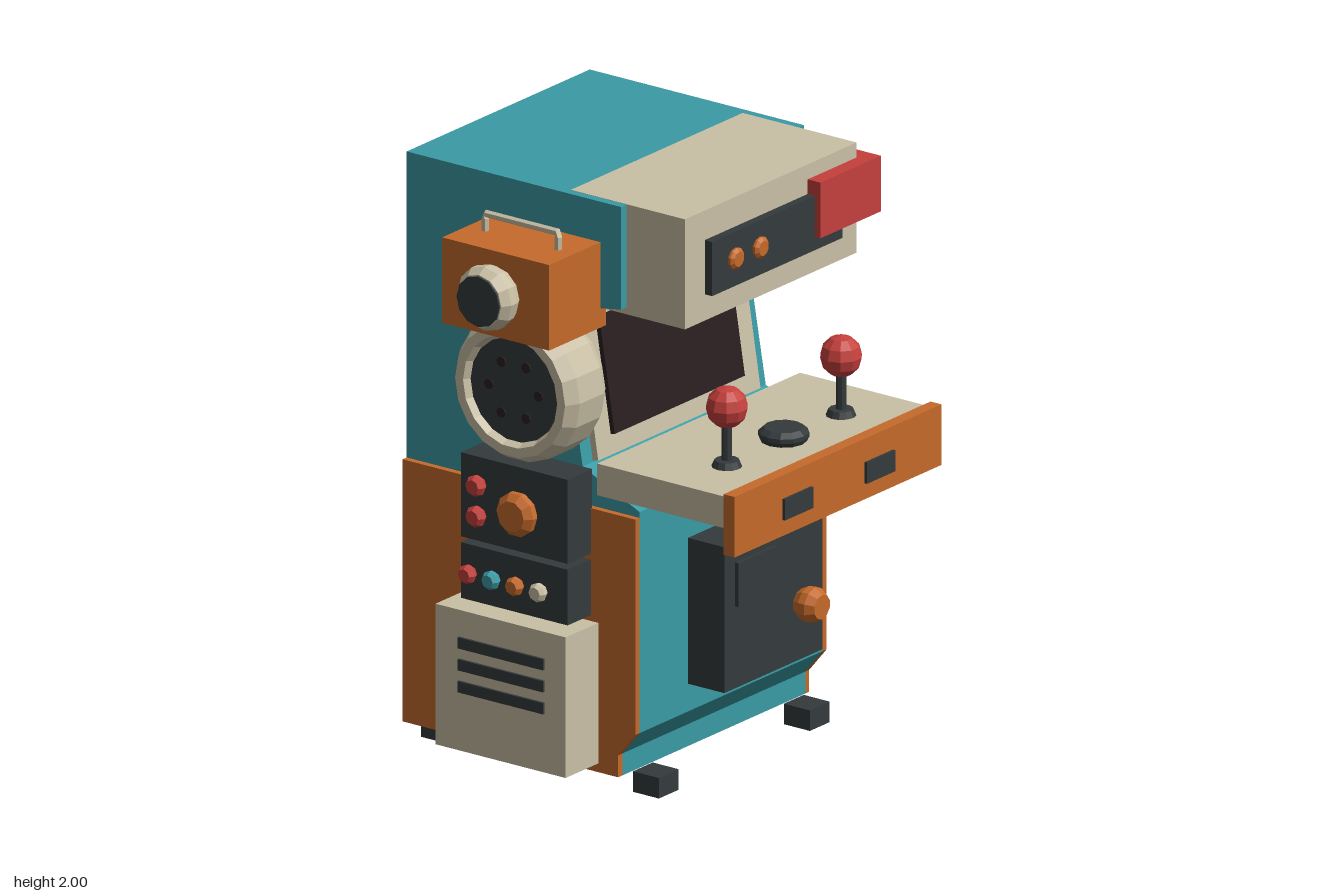
import * as THREE from 'three';

const mat = (name, color) => {
  const m = new THREE.MeshStandardMaterial({ color, flatShading: true });
  m.name = name;
  return m;
};

export function createModel() {
  const teal = mat('teal', 0x3a9ba5), orange = mat('orange', 0xc66a2b), cream = mat('cream', 0xcac0a6);
  const dark = mat('charcoal', 0x343a3c), red = mat('red', 0xc5403c), glass = mat('screen brown', 0x2a1e20);
  const root = new THREE.Group();

  const add = (name, geo, material, parent = root) => {
    const m = new THREE.Mesh(geo, material);
    m.name = name;
    parent.add(m);
    return m;
  };
  // Box given by its extents on each axis
  const box = (name, material, x0, x1, y0, y1, z0, z1) => {
    const m = add(name, new THREE.BoxGeometry(x1 - x0, y1 - y0, z1 - z0), material);
    m.position.set((x0 + x1) / 2, (y0 + y1) / 2, (z0 + z1) / 2);
    return m;
  };
  // Side profile of [z, y] points, extruded from x0 to x1
  const slab = (name, material, pts, x0, x1) => {
    const shape = new THREE.Shape(pts.map(([z, y]) => new THREE.Vector2(z, y)));
    const geo = new THREE.ExtrudeGeometry(shape, { depth: x1 - x0, bevelEnabled: false });
    geo.rotateY(-Math.PI / 2).translate(x1, 0, 0);
    return add(name, geo, material);
  };
  // Turned part; the profile is [radius, height], the axis points to 'up', 'front' or 'side' (-x)
  const turned = (name, material, pts, x, y, z, axis = 'up', sides = 12) => {
    const geo = new THREE.LatheGeometry(pts.map(([r, h]) => new THREE.Vector2(r, h)), sides);
    if (axis === 'front') geo.rotateX(Math.PI / 2);
    if (axis === 'side') geo.rotateZ(Math.PI / 2);
    const m = add(name, geo, material);
    m.position.set(x, y, z);
    return m;
  };
  const disc = (r, h) => [[0, 0], [r, 0], [r, h], [0, h]];
  const knob = (r, h) => [[0, 0], [r * 0.75, 0], [r, h * 0.35], [r, h * 0.65], [r * 0.7, h], [0, h]];

  // Cabinet
  const base = [[-0.69, 0.06], [0.18, 0.06], [0.18, 0.135], [0.25, 0.22]];
  slab('cabinet', teal, [...base, [0.25, 0.975], [0.02, 1.08], [-0.07, 1.61], [0.175, 1.65],
    [0.175, 2], [-0.69, 2]], -0.335, 0.635);
  const panel = [...base, [0.25, 0.955], [-0.69, 0.955]];
  slab('rightSidePanel', orange, panel, -0.357, -0.335);
  slab('leftSidePanel', orange, panel, 0.635, 0.655);
  for (const x of [-0.305, 0.495])
    for (const z of [-0.655, 0.2]) box('foot', dark, x, x + 0.105, 0, 0.07, z, z + 0.105);

  // Marquee
  box('marquee', cream, -0.305, 0.605, 1.625, 2.001, -0.05, 0.41);
  box('marqueePanel', dark, -0.2, 0.49, 1.715, 1.9, 0.41, 0.44);
  for (const x of [-0.09, 0.04]) turned('marqueeKnob', orange, knob(0.037, 0.026), x, 1.815, 0.44, 'front', 10);
  box('cornerSign', red, 0.345, 0.665, 1.76, 1.95, 0.14, 0.462);

  // Tilted screen
  const display = new THREE.Group();
  display.name = 'display';
  display.position.set(0.15, 1.345, -0.018);
  display.rotation.x = -0.16;
  root.add(display);
  add('bezel', new THREE.BoxGeometry(0.86, 0.525, 0.035), cream, display);
  add('screen', new THREE.BoxGeometry(0.69, 0.39, 0.018), glass, display).position.set(-0.005, 0, 0.025);

  // Control deck
  box('controlDeck', cream, -0.39, 0.685, 1.02, 1.128, 0.12, 0.638);
  box('deckFront', orange, -0.4, 0.697, 0.933, 1.14, 0.638, 0.682);
  for (const x of [-0.145, 0.29]) box('deckButton', dark, x, x + 0.15, 0.988, 1.06, 0.682, 0.692);
  for (const x of [-0.155, 0.45]) {
    turned('joystickBase', dark, [[0, 0], [0.05, 0], [0.04, 0.022], [0, 0.022]], x, 1.128, 0.465);
    turned('joystickStick', dark, disc(0.017, 0.17), x, 1.128, 0.465, 'up', 8);
    add('joystickBall', new THREE.SphereGeometry(0.07, 10, 6), red).position.set(x, 1.33, 0.465);
  }
  turned('centreButton', dark, [[0, 0], [0.075, 0], [0.083, 0.015], [0.083, 0.03], [0.065, 0.046], [0, 0.046]],
    0.15, 1.128, 0.462);

  // Coin door
  box('coinDoor', dark, -0.112, 0.407, 0.33, 0.828, 0.275, 0.422);
  box('coinPlate', dark, -0.055, 0.147, 0.61, 0.76, 0.422, 0.436);
  turned('coinKnob', orange, knob(0.06, 0.085), 0.295, 0.525, 0.422, 'front', 10);

  // Upper side box with handle and lens
  box('sideBox', orange, -0.607, -0.305, 1.57, 1.862, -0.34, 0.092);
  const handle = new THREE.CurvePath();
  const hp = [[1.85, -0.27], [1.92, -0.27], [1.92, 0.025], [1.85, 0.025]].map(([y, z]) => new THREE.Vector3(-0.47, y, z));
  for (let i = 0; i < 3; i++) handle.add(new THREE.LineCurve3(hp[i], hp[i + 1]));
  add('handle', new THREE.TubeGeometry(handle, 24, 0.013, 6), cream);
  turned('lensRim', cream, [[0, 0], [0.095, 0], [0.109, 0.03], [0.109, 0.06], [0.09, 0.09], [0, 0.09]],
    -0.607, 1.717, -0.123, 'side');
  turned('lens', dark, disc(0.086, 0.006), -0.697, 1.717, -0.123, 'side');

  // Round speaker
  turned('speakerDrum', cream, [[0, 0], [0.225, 0], [0.248, 0.04], [0.248, 0.165], [0.222, 0.21], [0.19, 0.21],
    [0.178, 0.18], [0, 0.18]], -0.31, 1.355, -0.132, 'side', 18);
  turned('speakerCone', dark, disc(0.176, 0.008), -0.49, 1.355, -0.132, 'side', 18);
  for (let i = 0; i < 6; i++) {
    const a = i * Math.PI / 3;
    turned('speakerHole', glass, disc(0.018, 0.005), -0.498, 1.355 + 0.1 * Math.sin(a), -0.132 + 0.1 * Math.cos(a), 'side', 8);
  }

  // Side control modules
  box('upperModule', dark, -0.48, -0.35, 0.8, 1.087, -0.36, 0.07);
  turned('largeDial', orange, knob(0.075, 0.066), -0.48, 0.94, -0.11, 'side', 10);
  for (const y of [0.89, 0.995]) turned('redButton', red, knob(0.036, 0.042), -0.48, y, -0.285, 'side', 8);
  box('lowerModule', dark, -0.48, -0.35, 0.59, 0.78, -0.36, 0.07);
  [red, teal, orange, cream].forEach((m, i) =>
    turned('smallButton', m, knob(0.032, 0.04), -0.48, 0.685, -0.32 + i * 0.095, 'side', 8));

  // Vent box
  box('ventBox', cream, -0.53, -0.35, 0.09, 0.57, -0.425, 0.1);
  for (const y of [0.31, 0.385, 0.46]) box('ventSlot', dark, -0.539, -0.53, y - 0.019, y + 0.019, -0.33, 0.015);

  return root;
}
